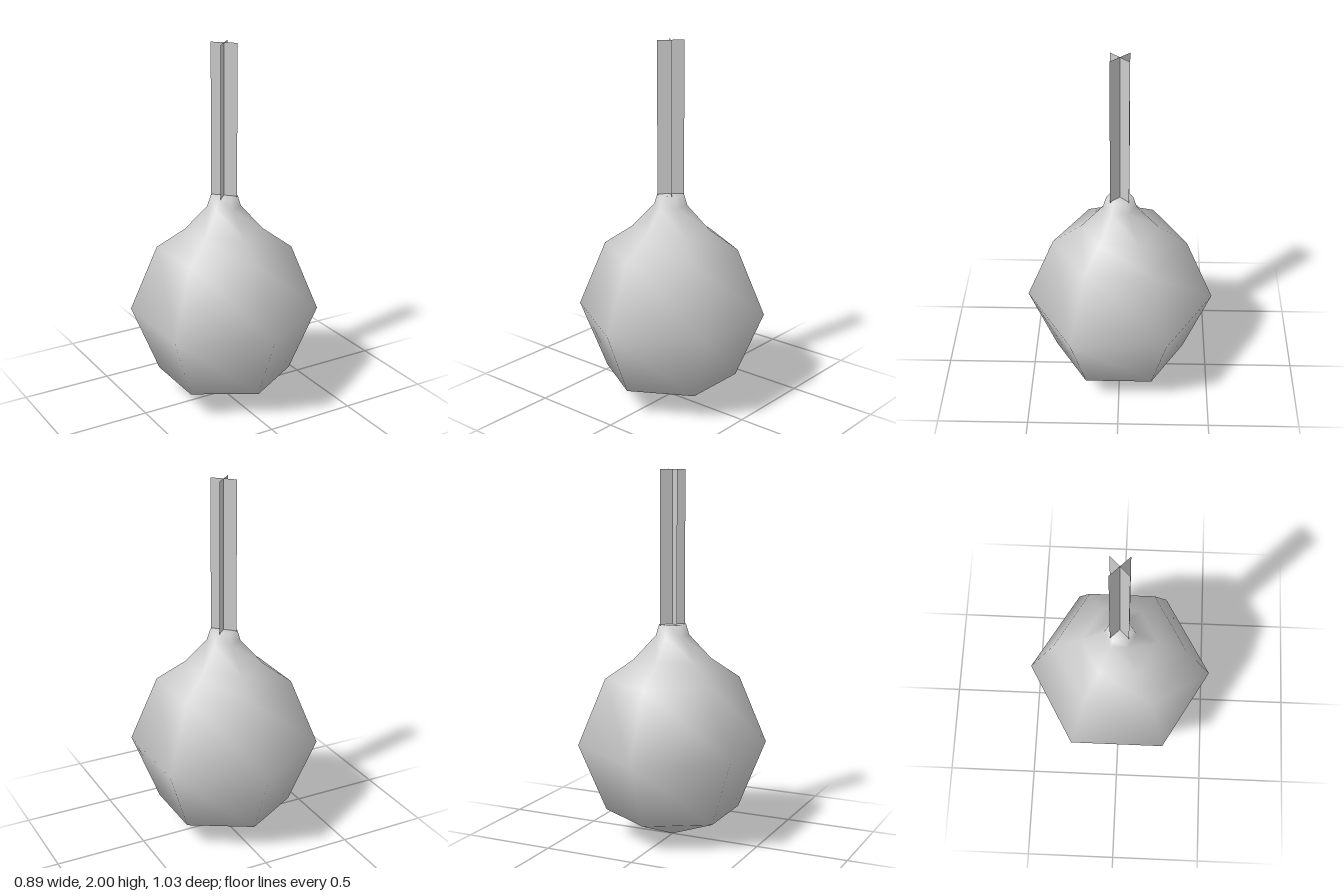
import * as THREE from 'three';

export function createModel() {
  const model = new THREE.Group();
  const grey = new THREE.MeshStandardMaterial({ color: 0xcccccc, side: THREE.DoubleSide });

  // Six-sided bulb drawn up into a narrow neck, corners at +z and -z
  const profile = [
    [0, 0.005], [0.365, 0.155], [0.515, 0.52], [0.365, 0.885],
    [0.21, 0.99], [0.09, 1.12], [0.072, 1.18], [0, 1.18],
  ].map(([r, y]) => new THREE.Vector2(r, y));
  const bulb = new THREE.Mesh(new THREE.LatheGeometry(profile, 6), grey);
  bulb.name = 'bulb';
  model.add(bulb);

  // Hanging cord: two thin strips crossing on the diagonals
  const cord = new THREE.Group();
  cord.name = 'cord';
  const bottom = 1.175, top = 2;
  for (const side of [-1, 1]) {
    const strip = new THREE.Mesh(new THREE.PlaneGeometry(0.142, top - bottom), grey);
    strip.name = 'cordStrip';
    strip.position.y = (top + bottom) / 2;
    strip.rotation.y = side * Math.PI / 4;
    cord.add(strip);
  }
  model.add(cord);

  return model;
}
